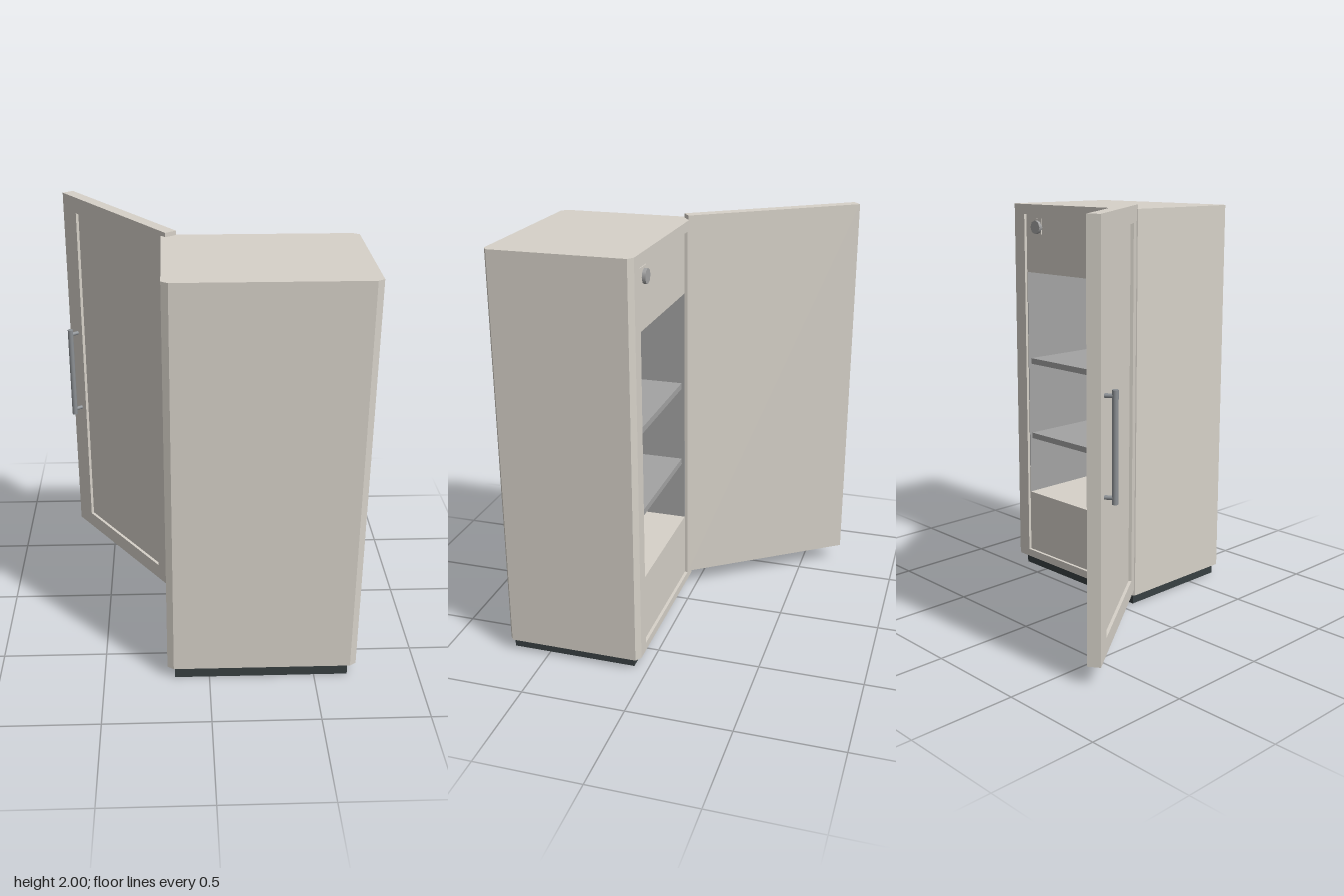
import * as THREE from 'three';

export function createModel() {
  const paint = (name, color) => {
    const m = new THREE.MeshStandardMaterial({ color });
    m.name = name;
    return m;
  };
  const enamel = paint('warm grey enamel', 0xd6d1c8);
  const lining = paint('grey interior', 0xa3a3a3);
  const metal = paint('handle metal', 0x8c9094);
  const dark = paint('dark plinth', 0x384042);

  const model = new THREE.Group();
  model.name = 'openRefrigerator';

  const add = (parent, name, geometry, material) => {
    const mesh = new THREE.Mesh(geometry, material);
    mesh.name = name;
    parent.add(mesh);
    return mesh;
  };
  // Box given by its minimum and maximum corners
  const box = (parent, name, material, [x0, y0, z0], [x1, y1, z1]) => {
    const g = new THREE.BoxGeometry(x1 - x0, y1 - y0, z1 - z0);
    g.translate((x0 + x1) / 2, (y0 + y1) / 2, (z0 + z1) / 2);
    return add(parent, name, g, material);
  };

  // Cabinet: stacked plan sections with chamfered corners; the notch opens to the back
  const L = -0.2, R = 0.7, B = 0.03, F = 0.7, cx = 0.03, cz = 0.02;
  const inL = -0.1, inR = 0.6, inF = 0.64;
  const cabinet = new THREE.Group();
  cabinet.name = 'cabinet';
  model.add(cabinet);
  const section = (name, y0, y1, notchZ) => {
    const plan = [[L + cx, F], [R - cx, F], [R, F - cz], [R, B + cz], [R - cx, B]];
    if (notchZ) plan.push([inR, B], [inR, notchZ], [inL, notchZ], [inL, B]);
    plan.push([L + cx, B], [L, B + cz], [L, F - cz]);
    const shape = new THREE.Shape(plan.map(([x, z]) => new THREE.Vector2(x, -z)));
    const g = new THREE.ExtrudeGeometry(shape, { depth: y1 - y0, bevelEnabled: false });
    g.rotateX(-Math.PI / 2).translate(0, y0, 0);
    add(cabinet, name, g, enamel);
  };
  const panelZ = B + 0.015;
  section('cabinetBottom', 0.06, 0.1, 0);
  section('lowerPanel', 0.1, 0.43, panelZ);
  section('compartmentWalls', 0.43, 1.63, inF);
  section('upperPanel', 1.63, 1.93, panelZ);
  section('cabinetTop', 1.93, 1.98, 0);

  // Plinth
  box(model, 'plinth', dark, [-0.165, 0, 0.07], [0.66, 0.06, 0.685]);

  // Interior lining and shelves
  const t = 0.004;
  box(model, 'liningRight', lining, [inL, 0.43, panelZ], [inL + t, 1.63, inF]);
  box(model, 'liningLeft', lining, [inR - t, 0.43, panelZ], [inR, 1.63, inF]);
  box(model, 'liningRear', lining, [inL, 0.43, inF - t], [inR, 1.63, inF]);
  for (const y of [0.76, 1.17]) {
    box(model, 'shelf', lining, [inL + t, y - 0.03, 0.06], [inR - t, y, inF - t]);
  }

  // Thermostat: small plate and knob on the upper panel
  box(model, 'controlPlate', enamel, [0.48, 1.83, panelZ - 0.004], [0.575, 1.91, panelZ]);
  const knob = new THREE.CylinderGeometry(0.035, 0.035, 0.02, 8).rotateX(Math.PI / 2);
  add(model, 'thermostatKnob', knob, lining).position.set(0.51, 1.865, panelZ - 0.01);

  // Door, swung open; local +x is the free edge, local -z the outer face
  const door = new THREE.Group();
  door.name = 'door';
  door.position.set(-0.415, 0, -0.316);
  door.rotation.y = THREE.MathUtils.degToRad(125.2);
  model.add(door);
  const recess = 0.015, half = 0.03, y0 = 0.09, y1 = 2;
  box(door, 'doorSlab', enamel, [-0.45, y0, recess - half], [0.45, y1, half]);
  const rect = (Type, xa, ya, xb, yb) => new Type([
    new THREE.Vector2(xa, ya), new THREE.Vector2(xb, ya),
    new THREE.Vector2(xb, yb), new THREE.Vector2(xa, yb),
  ]);
  const frame = rect(THREE.Shape, -0.45, y0, 0.45, y1);
  frame.holes.push(rect(THREE.Path, -0.34, 0.17, 0.33, 1.92));
  const frameGeo = new THREE.ExtrudeGeometry(frame, { depth: recess, bevelEnabled: false });
  add(door, 'doorFrame', frameGeo, enamel).position.z = -half;

  // Handle: vertical bar on two posts
  const hx = 0.374, hz = -0.075;
  const bar = new THREE.CylinderGeometry(0.014, 0.014, 0.49, 12);
  add(door, 'handleBar', bar, metal).position.set(hx, 1.045, hz);
  for (const y of [0.828, 1.264]) {
    const post = new THREE.CylinderGeometry(0.01, 0.01, 0.05, 10).rotateX(Math.PI / 2);
    add(door, 'handlePost', post, metal).position.set(hx, y, -0.05);
  }
  return model;
}
